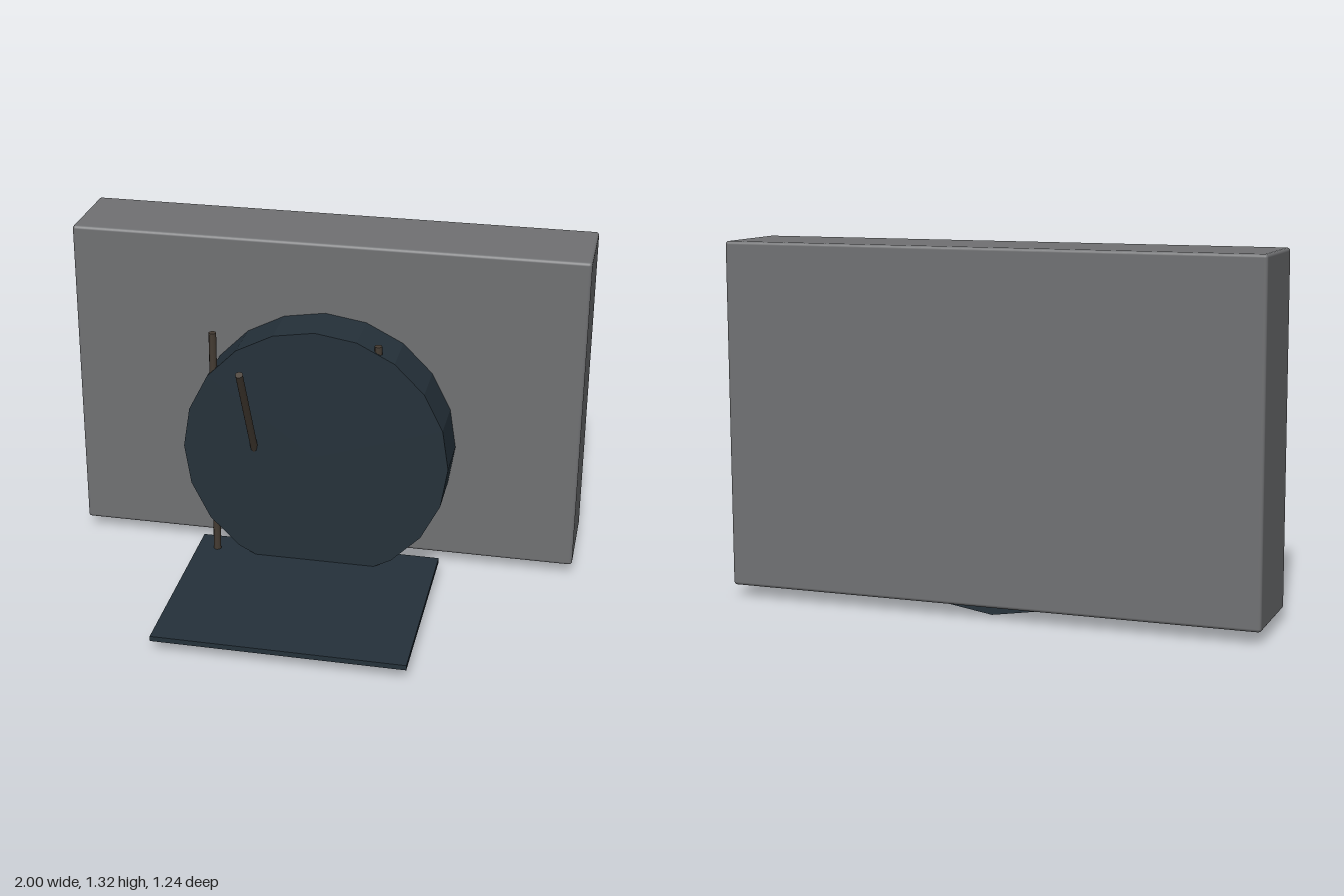
import * as THREE from 'three';
import { RoundedBoxGeometry } from 'three/addons/geometries/RoundedBoxGeometry.js';

export function createModel() {
  const model = new THREE.Group();
  const grey = new THREE.MeshStandardMaterial({ color: 0x707173 });
  grey.name = 'casing grey';
  const slate = new THREE.MeshStandardMaterial({ color: 0x25313a, flatShading: true });
  slate.name = 'dark slate';
  const brown = new THREE.MeshStandardMaterial({ color: 0x453c33 });
  brown.name = 'dark brown';

  function add(name, geometry, material, x, y, z) {
    const mesh = new THREE.Mesh(geometry, material);
    mesh.name = name;
    mesh.position.set(x, y, z);
    model.add(mesh);
    return mesh;
  }

  // Thin round rod between two points
  function rod(name, from, to) {
    const a = new THREE.Vector3(...from), b = new THREE.Vector3(...to);
    const dir = b.clone().sub(a);
    const mid = a.clone().add(b).multiplyScalar(0.5);
    const mesh = add(name, new THREE.CylinderGeometry(0.015, 0.015, dir.length(), 8), brown, mid.x, mid.y, mid.z);
    mesh.quaternion.setFromUnitVectors(new THREE.Vector3(0, 1, 0), dir.normalize());
  }

  // Main casing with softly rounded edges
  add('casing', new RoundedBoxGeometry(2, 1.275, 0.356, 2, 0.012), grey, 0, 0.6825, -0.44);

  // Twenty-sided drum running into the casing, a corner at the very top
  const drum = new THREE.CylinderGeometry(0.52, 0.52, 0.48, 20).rotateX(Math.PI / 2);
  add('drum', drum, slate, 0, 0.52, -0.3);

  // Flat base plate reaching forward
  add('basePlate', new THREE.BoxGeometry(0.96, 0.02, 0.795), slate, 0, 0.055, 0.2195);

  // Two upright rods and one leaning out of the drum
  rod('rightRod', [-0.4, 0.05, -0.08], [-0.4, 1, -0.08]);
  rod('leftRod', [0.24, 0.05, -0.08], [0.24, 1, -0.08]);
  rod('leaningRod', [-0.24, 0.12, -0.294], [-0.24, 0.94, 0.151]);

  return model;
}
